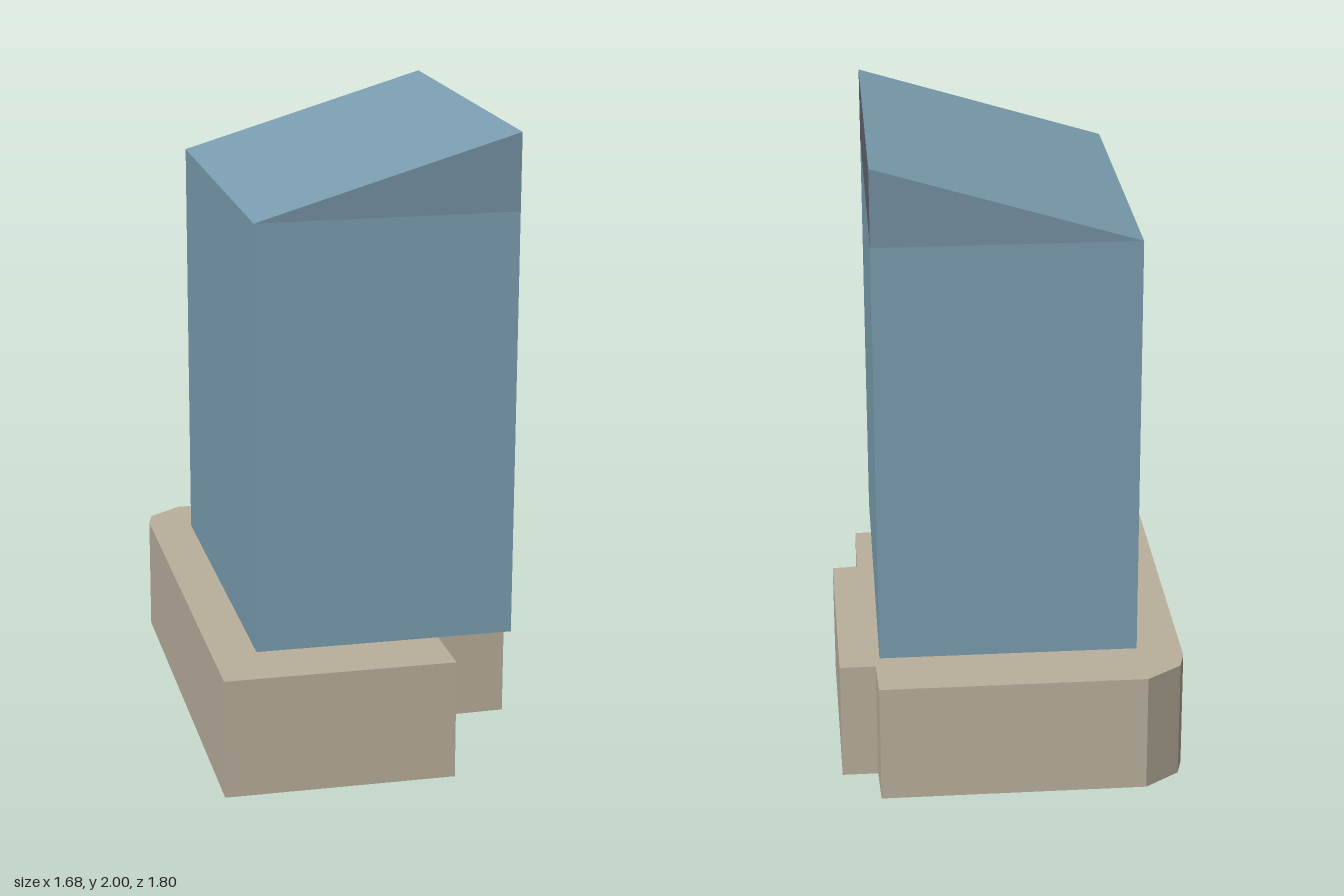
import * as THREE from 'three';

const PODIUM_TOP = 0.385, EAVE = 1.755, RIDGE = 2;

// Plan outlines as [x, z], counterclockwise seen from above
const PODIUM = [
  [0.385, 0.9], [0.84, 0.325], [0.47, 0.04], [0.65, -0.2], [0.43, -0.375], [0.475, -0.445],
  [-0.12, -0.9], [-0.19, -0.81], [-0.32, -0.905], [-0.84, -0.24], [-0.845, -0.1], [-0.8, -0.04],
];
const TOWER = [[0.305, 0.655], [0.82, 0.005], [-0.155, -0.765], [-0.665, -0.115]];

const material = (color) =>
  new THREE.MeshStandardMaterial({ color, flatShading: true, side: THREE.DoubleSide });

// Flat polygons, each a convex loop of [x, y, z] corners
function facets(name, polygons, mat) {
  const pos = [];
  for (const p of polygons)
    for (let i = 1; i < p.length - 1; i++) pos.push(...p[0], ...p[i], ...p[i + 1]);
  const geo = new THREE.BufferGeometry();
  geo.setAttribute('position', new THREE.Float32BufferAttribute(pos, 3));
  geo.computeVertexNormals();
  const mesh = new THREE.Mesh(geo, mat);
  mesh.name = name;
  return mesh;
}

// Upright walls following an outline
function walls(name, outline, y0, y1, mat) {
  const quads = outline.map(([ax, az], i) => {
    const [bx, bz] = outline[(i + 1) % outline.length];
    return [[ax, y0, az], [bx, y0, bz], [bx, y1, bz], [ax, y1, az]];
  });
  return facets(name, quads, mat);
}

export function createModel() {
  const model = new THREE.Group();
  model.name = 'building';
  const stone = material(0xb9af9c);
  const glass = material(0x7b9eb1);
  const gable = material(0x7590a3);
  const slate = material(0x60646c);

  // Podium: open below, with a flat terrace on top
  const podium = new THREE.Group();
  podium.name = 'podium';
  const shape = new THREE.Shape(PODIUM.map(([x, z]) => new THREE.Vector2(x, -z)));
  const terrace = new THREE.Mesh(new THREE.ShapeGeometry(shape).rotateX(-Math.PI / 2), stone);
  terrace.position.y = PODIUM_TOP;
  terrace.name = 'terrace';
  podium.add(walls('podiumWalls', PODIUM, 0, PODIUM_TOP, stone), terrace);

  // Tower walls up to the eave
  const tower = new THREE.Group();
  tower.name = 'tower';
  tower.add(walls('towerWalls', TOWER, PODIUM_TOP, EAVE, glass));

  // Sloping roof: low along the front wall, high along the back wall
  const at = (i, y) => [TOWER[i][0], y, TOWER[i][1]];
  const [frontR, frontL] = [at(0, EAVE), at(3, EAVE)];
  const [backR, backL] = [at(1, EAVE), at(2, EAVE)];
  const [ridgeR, ridgeL] = [at(1, RIDGE), at(2, RIDGE)];
  tower.add(
    facets('roof', [[frontL, frontR, ridgeR, ridgeL]], glass),
    facets('gables', [[frontR, backR, ridgeR], [backL, frontL, ridgeL]], gable),
    facets('roofBackPanel', [[backR, backL, ridgeL, ridgeR]], slate),
  );

  model.add(podium, tower);
  return model;
}
